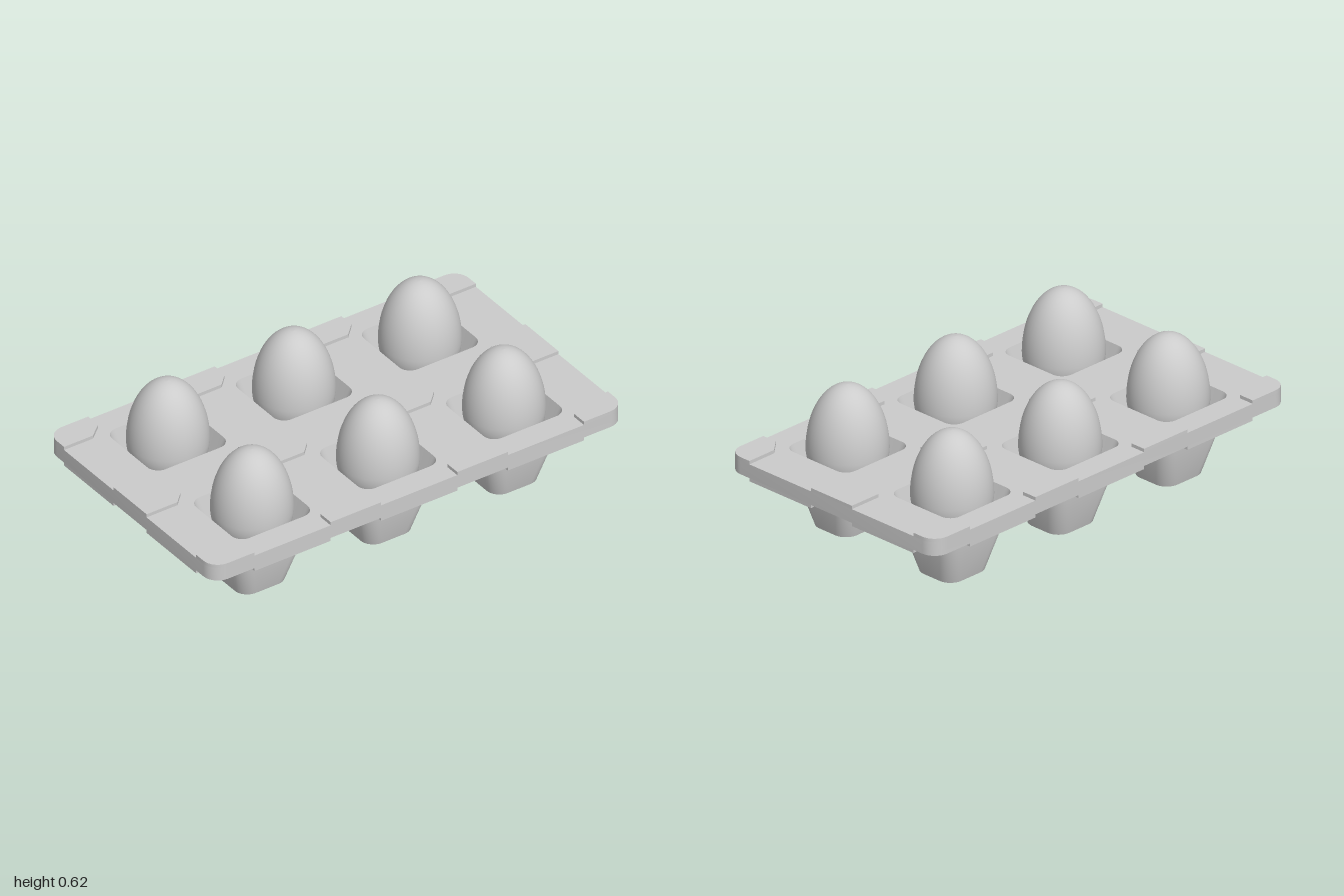
import * as THREE from 'three';
import { toCreasedNormals } from 'three/addons/utils/BufferGeometryUtils.js';

const material = new THREE.MeshStandardMaterial({ color: 0xcccccc });
const HALF_X = 1, HALF_Z = 0.58, CORNER = 0.07;
const FLOOR_Y = 0.262, SHEET_Y = 0.276, TOP_Y = 0.337, PAD_Y = 0.352;
const CUP_X = [-0.612, 0, 0.612], CUP_Z = [-0.293, 0.293];
const QUADRANTS = [[1, 1], [-1, 1], [-1, -1], [1, -1]];

// Outline of a rounded rectangle as [x, z] pairs, running from +x towards +z
function roundedRect(hx, hz, r, cx = 0, cz = 0, steps = 8) {
  const pts = [];
  QUADRANTS.forEach(([sx, sz], q) => {
    for (let i = 0; i <= steps; i++) {
      const a = (q + i / steps) * Math.PI / 2;
      pts.push([cx + sx * (hx - r) + r * Math.cos(a), cz + sz * (hz - r) + r * Math.sin(a)]);
    }
  });
  return pts;
}

const vectors = (pts) => pts.map(([x, z]) => new THREE.Vector2(x, z));
const mirror = (pts, sx, sz) => pts.map(([x, z]) => [x * sx, z * sz]);

// Horizontal slab between two heights, cut through by the given holes
function slab(name, outline, holes, y0, y1) {
  const shape = new THREE.Shape(vectors(outline));
  shape.holes = holes.map((h) => new THREE.Path(vectors(h)));
  const geo = new THREE.ExtrudeGeometry(shape, { depth: y1 - y0, bevelEnabled: false });
  geo.rotateX(Math.PI / 2).translate(0, y1, 0);
  const mesh = new THREE.Mesh(toCreasedNormals(geo, 0.6), material);
  mesh.name = name;
  return mesh;
}

// Tapered hollow cup: outer floor, outer wall, rim, inner wall, inner floor
function cupGeometry() {
  const rows = [
    [0, 0, 0, 0], [0.115, 0.105, 0.06, 0], [0.193, 0.182, 0.06, 0.3],
    [0.185, 0.174, 0.052, TOP_Y], [0.104, 0.094, 0.052, 0.015], [0, 0, 0, 0.015],
  ].map(([hx, hz, r, y]) => roundedRect(hx, hz, r).map(([x, z]) => [x, y, z]));
  const n = rows[0].length, pos = [];
  for (let i = 0; i < rows.length - 1; i++) {
    for (let j = 0; j < n; j++) {
      const k = (j + 1) % n;
      const a = rows[i][j], b = rows[i][k], c = rows[i + 1][j], d = rows[i + 1][k];
      if (i > 0) pos.push(...a, ...c, ...b);
      if (i < rows.length - 2) pos.push(...b, ...c, ...d);
      if (i === 0) pos.splice(-9, 9, ...a, ...c, ...d);
    }
  }
  const geo = new THREE.BufferGeometry();
  geo.setAttribute('position', new THREE.Float32BufferAttribute(pos, 3));
  return toCreasedNormals(geo, 0.6);
}

// Egg: one half-ellipse above the widest level, a shorter one below
function eggGeometry() {
  const pts = [];
  for (let i = 0; i <= 32; i++) {
    const a = -Math.PI / 2 + Math.PI * i / 32;
    const h = Math.sin(a) > 0 ? 0.279 : 0.18;
    pts.push(new THREE.Vector2(Math.max(0, 0.168 * Math.cos(a)), 0.337 + h * Math.sin(a)));
  }
  return new THREE.LatheGeometry(pts, 40);
}

export function createModel() {
  const model = new THREE.Group();
  model.name = 'eggTray';

  const cupHoles = CUP_X.flatMap((x) => CUP_Z.map((z) => roundedRect(0.185, 0.174, 0.052, x, z)));

  // Embossed pads: octagons, cut off where they meet the tray's edge
  const centrePad = [[0.185, 0.065], [0.235, 0.115], [0.38, 0.115], [0.43, 0.065],
    [0.43, -0.065], [0.38, -0.115], [0.235, -0.115], [0.185, -0.065]];
  const sidePad = [[HALF_X, 0.115], [0.85, 0.115], [0.8, 0.065],
    [0.8, -0.065], [0.85, -0.115], [HALF_X, -0.115]];
  const edgePad = [[0.185, HALF_Z], [0.185, 0.51], [0.235, 0.46],
    [0.38, 0.46], [0.43, 0.51], [0.43, HALF_Z]];
  const roundCorner = roundedRect(HALF_X, HALF_Z, CORNER).slice(0, 9);
  const cornerPad = [[0.8, HALF_Z], [0.8, 0.51], [0.86, 0.46], [HALF_X, 0.46], ...roundCorner];

  // Main sheet
  model.add(slab('traySheet', roundedRect(HALF_X, HALF_Z, CORNER), cupHoles, SHEET_Y, TOP_Y));

  // Underside layer, recessed beneath every pad
  const quarter = [...sidePad.slice(0, 3).reverse(), [HALF_X, 0.46], [0.86, 0.46], [0.8, 0.51],
    [0.8, HALF_Z], ...[...edgePad].reverse()];
  const outline = QUADRANTS.flatMap(([sx, sz]) => {
    const pts = mirror(quarter, sx, sz);
    return sx * sz < 0 ? pts.reverse() : pts;
  });
  const recesses = [centrePad, mirror(centrePad, -1, 1)];
  model.add(slab('trayUnderside', outline, [...cupHoles, ...recesses], FLOOR_Y, SHEET_Y));

  // Raised pads on top
  for (const s of [1, -1]) {
    model.add(slab('centrePad', mirror(centrePad, s, 1), [], TOP_Y, PAD_Y));
    model.add(slab('sidePad', mirror(sidePad, s, 1), [], TOP_Y, PAD_Y));
  }
  for (const [sx, sz] of QUADRANTS) {
    model.add(slab('edgePad', mirror(edgePad, sx, sz), [], TOP_Y, PAD_Y));
    model.add(slab('cornerPad', mirror(cornerPad, sx, sz), [], TOP_Y, PAD_Y));
  }

  // Cups, each holding an egg
  const cupGeo = cupGeometry(), eggGeo = eggGeometry();
  for (const x of CUP_X) {
    for (const z of CUP_Z) {
      for (const [name, geo] of [['cup', cupGeo], ['egg', eggGeo]]) {
        const mesh = new THREE.Mesh(geo, material);
        mesh.name = name;
        mesh.position.set(x, 0, z);
        model.add(mesh);
      }
    }
  }
  return model;
}
